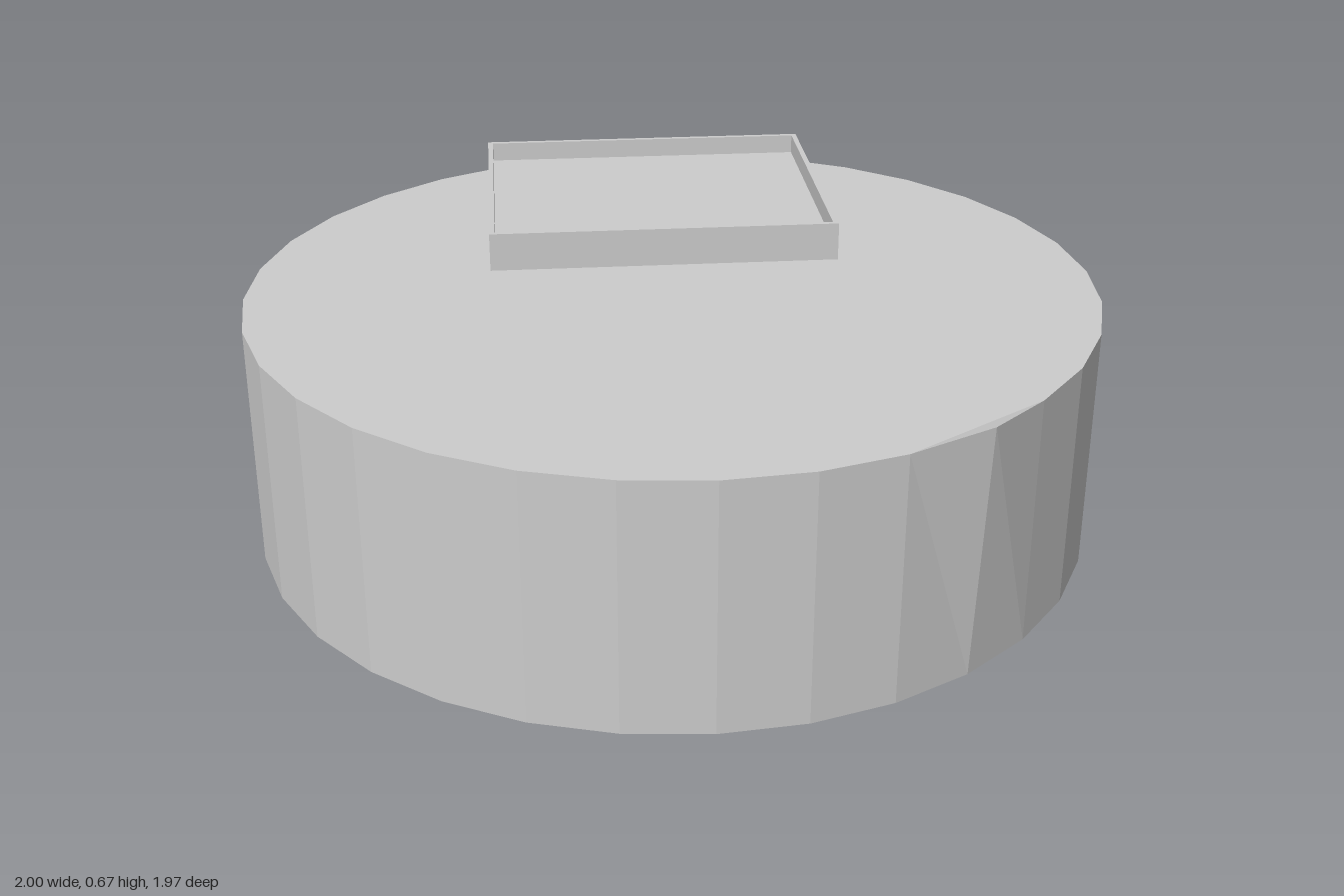
import * as THREE from 'three';

const SIDES = 32, HEIGHT = 0.58, DEPTH = 0.987;
const SLOT_LOW = 0.085, SLOT_HIGH = 0.25;

// Flat-faced geometry from convex polygons (corners counter-clockwise from outside)
function facesToGeometry(faces) {
  const pos = [];
  for (const f of faces) {
    for (let i = 1; i < f.length - 1; i++) pos.push(...f[0], ...f[i], ...f[i + 1]);
  }
  const g = new THREE.BufferGeometry();
  g.setAttribute('position', new THREE.Float32BufferAttribute(pos, 3));
  g.computeVertexNormals();
  return g;
}

function drumGeometry() {
  const BUMP = 5; // rim corner that is pulled up and out
  const ring = (y) => Array.from({ length: SIDES }, (_, i) => {
    const a = (i / SIDES) * Math.PI * 2;
    return [Math.cos(a), y, Math.sin(a) * DEPTH];
  });
  const bottom = ring(0), low = ring(SLOT_LOW), high = ring(SLOT_HIGH), top = ring(HEIGHT);
  top[BUMP] = [0.57, 0.596, 0.843];

  const faces = [];
  const wall = (lower, upper, i) => {
    const j = (i + 1) % SIDES;
    faces.push([lower[i], upper[i], upper[j], lower[j]]);
  };
  for (let i = 0; i < SIDES; i++) {
    if (i < 2) { // leave the slot open
      wall(bottom, low, i);
      wall(high, top, i);
    } else wall(bottom, top, i);
  }

  // Caps, with a small sloping triangle up to the raised corner
  faces.push(bottom);
  faces.push(top.filter((_, i) => i !== BUMP).reverse());
  faces.push([top[BUMP + 1], top[BUMP], top[BUMP - 1]]);

  // Slot recess: floor, ceiling, two ends and back
  const inner = (y) => [[0.85, y, 0.348], [0.85, y, 0]];
  const [farLow, nearLow] = inner(SLOT_LOW), [farHigh, nearHigh] = inner(SLOT_HIGH);
  faces.push([low[0], low[1], low[2], farLow, nearLow].reverse());
  faces.push([high[0], high[1], high[2], farHigh, nearHigh]);
  faces.push([nearLow, low[0], high[0], nearHigh]);
  faces.push([nearLow, nearHigh, farHigh, farLow]);
  faces.push([low[2], farLow, farHigh, high[2]]);
  return facesToGeometry(faces);
}

// Rectangle outline centred on the origin
function rectangle(Type, w, d) {
  return new Type([[-1, -1], [1, -1], [1, 1], [-1, 1]]
    .map(([x, y]) => new THREE.Vector2(x * w / 2, y * d / 2)));
}

export function createModel() {
  const model = new THREE.Group();
  model.name = 'roundHousing';
  const grey = new THREE.MeshStandardMaterial({ color: 0xcccccc });
  grey.name = 'light grey';

  const drum = new THREE.Mesh(drumGeometry(), grey);
  drum.name = 'drum';
  model.add(drum);

  // Shallow rectangular tray towards the back
  const W = 0.845, D = 0.715, H = 0.093, T = 0.013;
  const tray = new THREE.Group();
  tray.name = 'tray';
  tray.position.set(-0.005, HEIGHT, -0.487);
  const outline = rectangle(THREE.Shape, W, D);
  outline.holes.push(rectangle(THREE.Path, W - 2 * T, D - 2 * T));
  const rimGeometry = new THREE.ExtrudeGeometry(outline, { depth: H, bevelEnabled: false });
  rimGeometry.rotateX(-Math.PI / 2);
  const rim = new THREE.Mesh(rimGeometry, grey);
  rim.name = 'trayRim';
  const floor = new THREE.Mesh(new THREE.BoxGeometry(W - 2 * T, 0.045, D - 2 * T), grey);
  floor.name = 'trayFloor';
  floor.position.y = 0.0225;
  tray.add(rim, floor);
  model.add(tray);

  return model;
}
